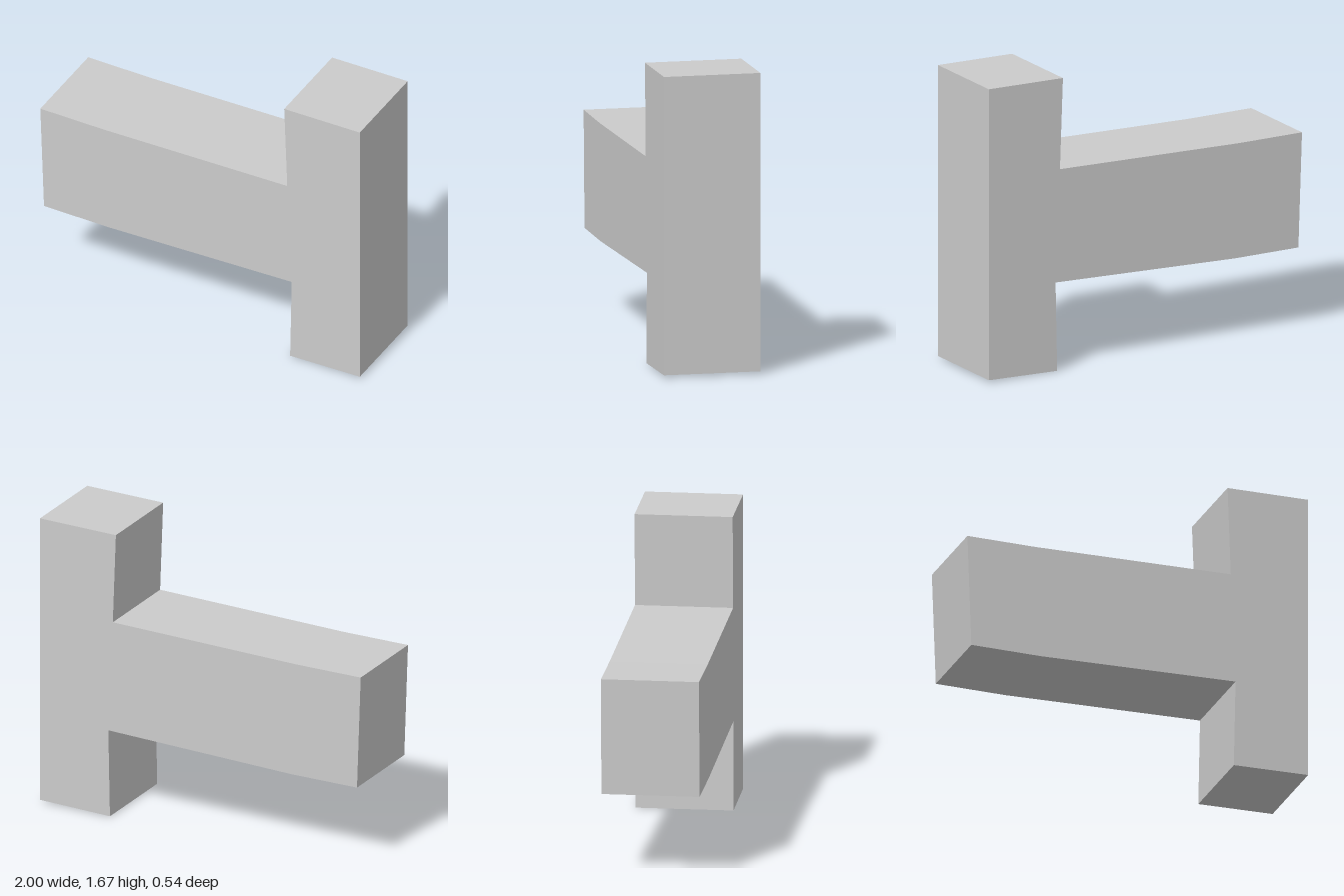
import * as THREE from 'three';

export function createModel() {
  const group = new THREE.Group();
  const depth = 0.54;

  // Sideways T outline: upright block on the left, slightly bent arm to the right
  const outline = [
    [0.56, 0], [0.995, 0.013], [0.995, 1.672], [0.523, 1.664],
    [0.542, 1.147], [-0.6, 1.12], [-1, 1.12],
    [-0.977, 0.467], [-0.57, 0.467], [0.57, 0.505],
  ].map(([x, y]) => new THREE.Vector2(x, y));

  const geometry = new THREE.ExtrudeGeometry(new THREE.Shape(outline), { depth, bevelEnabled: false });
  geometry.translate(0, 0, -depth / 2);

  const material = new THREE.MeshStandardMaterial({ color: 0xcccccc, flatShading: true });
  const body = new THREE.Mesh(geometry, material);
  body.name = 'teeBlock';
  group.add(body);
  return group;
}
